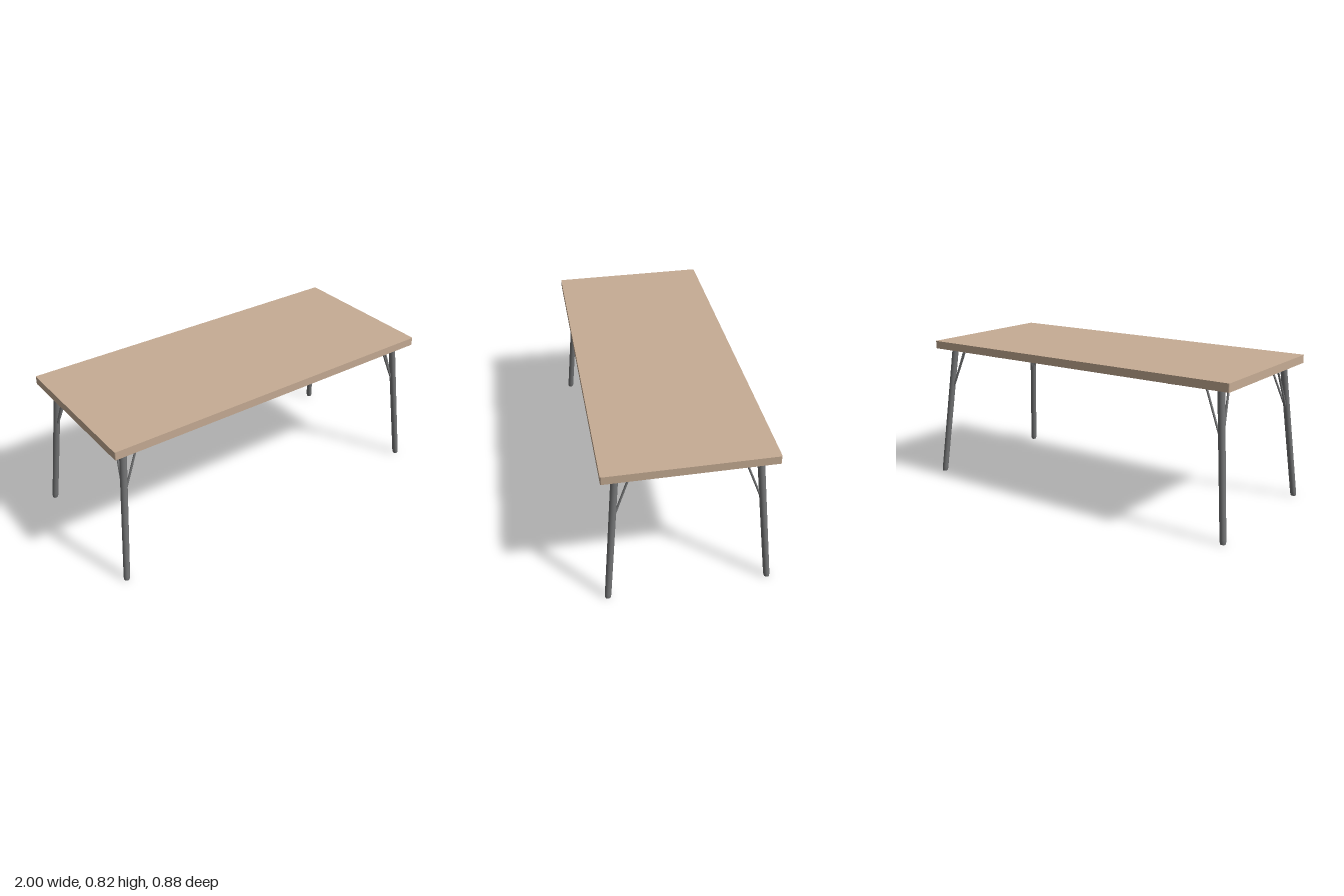
import * as THREE from 'three';

const wood = new THREE.MeshStandardMaterial({ color: 0xc6ac94 });
wood.name = 'light wood';
const steel = new THREE.MeshStandardMaterial({ color: 0x737475 });
steel.name = 'grey steel';

const TOP_Y = 0.777, THICK = 0.045;

function addMesh(parent, name, geometry, material) {
  const mesh = new THREE.Mesh(geometry, material);
  mesh.name = name;
  parent.add(mesh);
  return mesh;
}

// Slanted rod whose ends stay level, from point a up to point b
function slantedRod(a, b, rBottom, rTop, sides, bevel = 0) {
  const h = b.y - a.y;
  const geo = new THREE.CylinderGeometry(rTop, rBottom, h, sides, bevel ? 60 : 1);
  geo.translate(0, h / 2, 0);
  const p = geo.attributes.position;
  for (let i = 0; i < p.count; i++) {
    const y = p.getY(i), t = y / h;
    const k = bevel && y < 1e-6 ? 0.85 : 1; // softened foot edge
    p.setXYZ(i,
      a.x + (b.x - a.x) * t + p.getX(i) * k,
      a.y + y,
      a.z + (b.z - a.z) * t + p.getZ(i) * k);
  }
  geo.computeVertexNormals();
  return geo;
}

// Slab with slightly rounded upright corners
function tabletopGeometry(hx, hz, r) {
  const s = new THREE.Shape();
  s.absarc(hx - r, hz - r, r, 0, Math.PI / 2);
  s.absarc(-hx + r, hz - r, r, Math.PI / 2, Math.PI);
  s.absarc(-hx + r, -hz + r, r, Math.PI, Math.PI * 1.5);
  s.absarc(hx - r, -hz + r, r, Math.PI * 1.5, Math.PI * 2);
  const geo = new THREE.ExtrudeGeometry(s, { depth: THICK, bevelEnabled: false, curveSegments: 4 });
  geo.rotateX(-Math.PI / 2);
  geo.translate(0, TOP_Y, 0);
  return geo;
}

// Batten with chamfered lower ends, running along z
function battenGeometry() {
  const s = new THREE.Shape([
    [-0.342, 0.03], [-0.342, 0.014], [-0.329, 0], [0.329, 0], [0.342, 0.014], [0.342, 0.03],
  ].map(([x, y]) => new THREE.Vector2(x, y)));
  const geo = new THREE.ExtrudeGeometry(s, { depth: 0.054, bevelEnabled: false });
  geo.translate(0, TOP_Y - 0.03, -0.027);
  geo.rotateY(Math.PI / 2);
  return geo;
}

export function createModel() {
  const table = new THREE.Group();
  table.name = 'table';

  addMesh(table, 'tabletop', tabletopGeometry(0.992, 0.438, 0.006), wood);

  for (const sx of [1, -1]) {
    const side = sx > 0 ? 'left' : 'right';
    addMesh(table, side + 'Batten', battenGeometry(), wood).position.x = sx * 0.611;

    for (const sz of [1, -1]) {
      const group = new THREE.Group();
      group.name = side + (sz > 0 ? 'Front' : 'Back') + 'Leg';
      table.add(group);
      const at = (x, y, z) => new THREE.Vector3(sx * x, y, sz * z);

      // Splayed leg
      addMesh(group, 'leg', slantedRod(at(0.983, 0, 0.426), at(0.907, TOP_Y, 0.358), 0.017, 0.019, 24, 1), steel);
      // Thin braces, one along each table edge
      addMesh(group, 'longBrace', slantedRod(at(0.921, 0.53, 0.379), at(0.822, TOP_Y, 0.358), 0.006, 0.006, 12), steel);
      addMesh(group, 'crossBrace', slantedRod(at(0.931, 0.53, 0.367), at(0.907, TOP_Y, 0.275), 0.006, 0.006, 12), steel);
    }
  }
  return table;
}
